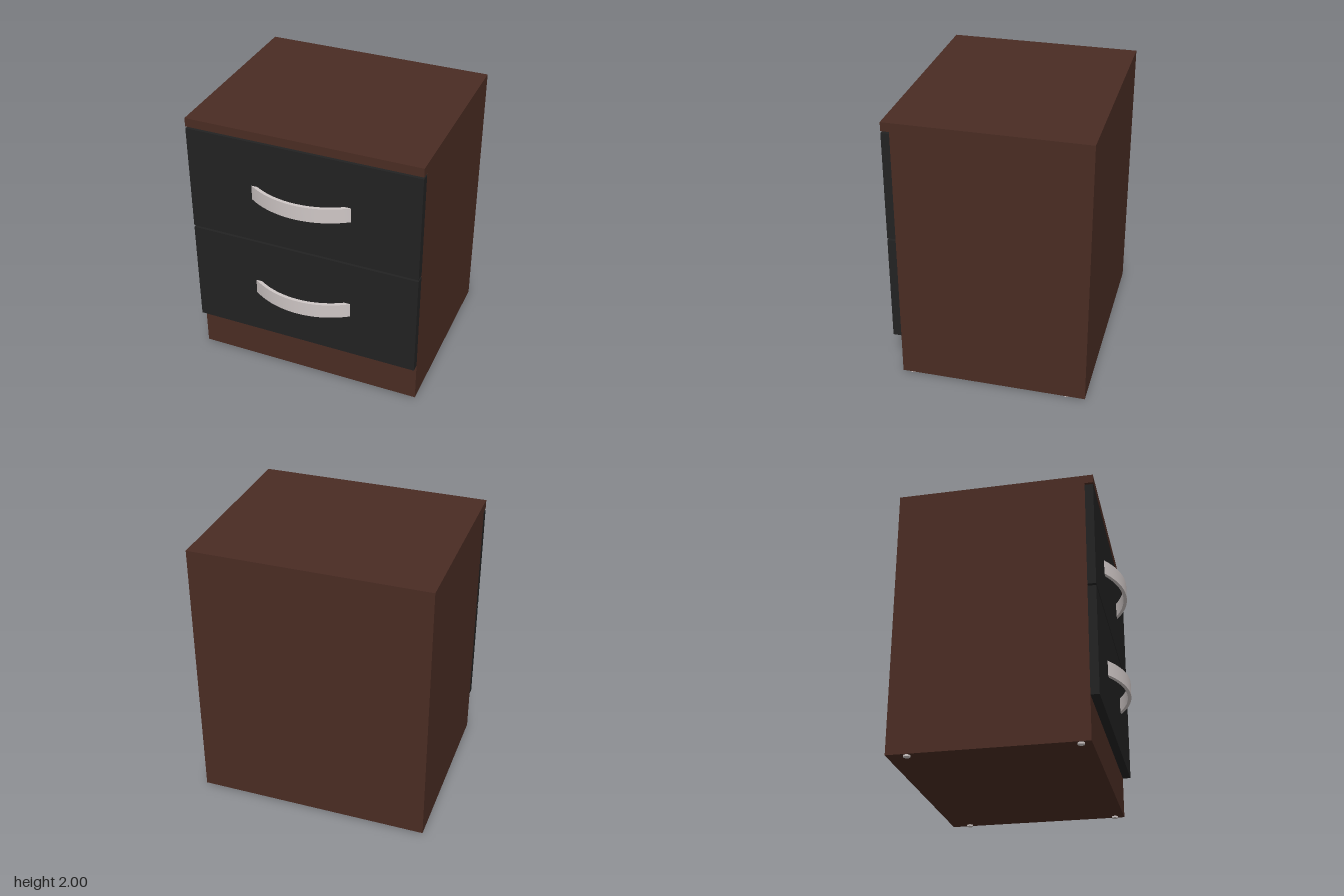
import * as THREE from 'three';
import { toCreasedNormals } from 'three/addons/utils/BufferGeometryUtils.js';

export function createModel() {
  const model = new THREE.Group();
  model.name = 'bedsideCabinet';

  const material = (name, color) => {
    const m = new THREE.MeshStandardMaterial({ color });
    m.name = name;
    return m;
  };
  const wood = material('darkBrownWood', 0x4a2c23);
  const black = material('blackFront', 0x222222);
  const metal = material('paleMetal', 0xcec6c5);

  const add = (name, geometry, mat) => {
    const mesh = new THREE.Mesh(geometry, mat);
    mesh.name = name;
    model.add(mesh);
    return mesh;
  };
  // Box given by its minimum and maximum corners
  const panel = (name, mat, [x0, y0, z0], [x1, y1, z1]) =>
    add(name, new THREE.BoxGeometry(x1 - x0, y1 - y0, z1 - z0), mat)
      .position.set((x0 + x1) / 2, (y0 + y1) / 2, (z0 + z1) / 2);

  const W = 0.85, T = 0.06, BACK = -0.765, BODY = 0.59, FRONT = 0.65;
  const BASE = 0.012, TOP = 1.936, IN = W - T;

  // Carcass
  panel('topBoard', wood, [-W, TOP, BACK], [W, 2, FRONT]);
  panel('leftSide', wood, [IN, BASE, BACK], [W, TOP, BODY]);
  panel('rightSide', wood, [-W, BASE, BACK], [-IN, TOP, BODY]);
  panel('backPanel', wood, [-IN, BASE, BACK], [IN, TOP, BACK + T]);
  panel('bottomBoard', wood, [-IN, BASE, BACK + T], [IN, BASE + T, BODY - T]);
  panel('frontFrame', wood, [-IN, BASE, BODY - T], [IN, TOP, BODY]);

  // Bowed handle outline in plan, cut off flush with the drawer front
  const outer = 0.637, inner = 0.612, centre = 0.128;
  const start = Math.asin((FRONT - centre) / outer);
  const innerStart = Math.asin((FRONT - centre) / inner);
  const bow = new THREE.Shape();
  bow.absarc(0, centre, outer, start, Math.PI - start, false);
  bow.absarc(0, centre, inner, Math.PI - innerStart, innerStart, true);
  bow.closePath();
  const handle = toCreasedNormals(
    new THREE.ExtrudeGeometry(bow, { depth: 0.11, bevelEnabled: false, curveSegments: 24 })
      .rotateX(Math.PI / 2).translate(-0.005, 0.055, 0), 0.5);

  // Two drawers, each with a handle
  [['lower', 0.323, 1.114, 0.72], ['upper', 1.129, 1.922, 1.525]].forEach(([name, y0, y1, y]) => {
    panel(name + 'DrawerFront', black, [-W, y0, BODY], [W, y1, FRONT]);
    add(name + 'Handle', handle, metal).position.y = y;
  });

  // Small round glides under the side panels
  const glide = new THREE.CylinderGeometry(0.024, 0.024, BASE, 20);
  for (const x of [-0.82, 0.82])
    for (const z of [-0.625, 0.52])
      add('footGlide', glide, metal).position.set(x, BASE / 2, z);

  return model;
}
